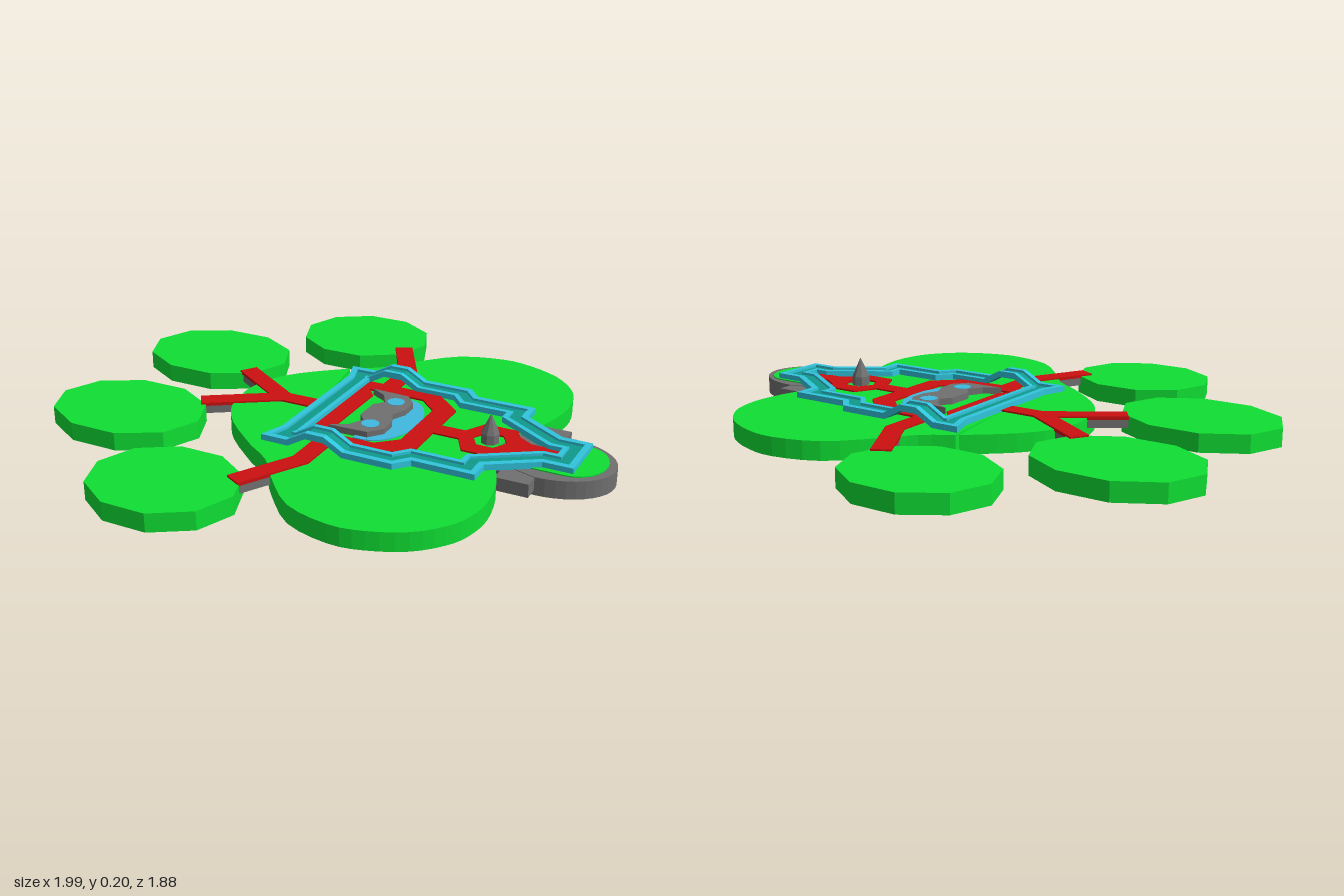
import * as THREE from 'three';

const COLORS = { green: 0x0fdf33, red: 0xcc1010, cyan: 0x30c4dc, teal: 0x109a8c, grey: 0x707070, blue: 0x3fb8e0 };
const MID = 0.015; // z of the body's own mirror axis

const material = (color) => new THREE.MeshStandardMaterial({ color: COLORS[color], flatShading: true, side: THREE.DoubleSide });

const toVec = (pts) => pts.map(([x, z]) => new THREE.Vector2(x, -z));

export function createModel() {
  const model = new THREE.Group();

  const add = (name, geometry, color) => {
    const mesh = new THREE.Mesh(geometry, material(color));
    mesh.name = name;
    model.add(mesh);
    return mesh;
  };

  // Flat slab from an [x, z] outline, between two heights
  const plate = (name, pts, y0, y1, color, holes = []) => {
    const shape = new THREE.Shape(toVec(pts));
    holes.forEach((h) => shape.holes.push(new THREE.Path(toVec(h))));
    const g = new THREE.ExtrudeGeometry(shape, { depth: y1 - y0, bevelEnabled: false });
    g.rotateX(-Math.PI / 2).translate(0, y0, 0);
    return add(name, g, color);
  };

  const ellipse = (cx, cz, rx, rz, n, from = 0, to = Math.PI * 2) =>
    Array.from({ length: n }, (_, i) => {
      const a = from + ((to - from) * i) / (to - from > 6.2 ? n : n - 1);
      return [cx + rx * Math.cos(a), cz + rz * Math.sin(a)];
    });

  const spline = (pts, n) =>
    new THREE.SplineCurve(pts.map(([x, z]) => new THREE.Vector2(x, z))).getPoints(n).map((p) => [p.x, p.y]);

  // Body: mirrored lobes, with a narrow slit on the far side of the tail
  const tail = spline([[-0.405, 0], [-0.38, 0.13], [-0.3, 0.25], [-0.155, 0.375]], 9);
  const lobe = spline([[-0.15, 0.38], [-0.05, 0.45], [0.03, 0.55], [0.165, 0.685], [0.33, 0.735], [0.45, 0.72],
    [0.57, 0.665], [0.65, 0.585], [0.69, 0.505], [0.705, 0.39], [0.68, 0.25], [0.63, 0.13], [0.59, 0]], 36);
  const near = [...tail, ...lobe].map(([x, z]) => [x, MID + z]);
  const farTail = tail.slice(1).map(([x, z]) => [x - 0.006, MID - z]);
  const farLobe = lobe.slice(0, -1).map(([x, z]) => [x, MID - z]);
  plate('body', [...near, ...farLobe.reverse(), [-0.1, 0.03], ...farTail.reverse()], 0.03, 0.096, 'green');

  // Four ten-sided outer pads
  for (const s of [-1, 1]) {
    plate('sidePad', ellipse(-0.268, MID - 0.008 + s * 0.723, 0.262, 0.23, 10), 0.03, 0.096, 'green');
    plate('rearPad', ellipse(-0.705, MID + s * 0.302, 0.294, 0.228, 10), 0.03, 0.096, 'green');
  }

  // Head with side blocks and a green top
  plate('head', [[0.6, -0.1], ...ellipse(0.775, 0.01, 0.22, 0.165, 21, -Math.PI / 2, Math.PI / 2), [0.6, 0.12]], 0.03, 0.094, 'grey');
  plate('headBlocks', [[0.66, -0.21], [0.775, -0.21], [0.775, 0.23], [0.66, 0.23]], 0.045, 0.092, 'grey');
  plate('headTop', [[0.72, -0.115], ...ellipse(0.86, 0.005, 0.105, 0.12, 13, -Math.PI / 2, Math.PI / 2), [0.72, 0.125]], 0.09, 0.098, 'green');

  // Mitred offset of an open or closed path
  const offset = (path, d, closed) => path.map((p, i) => {
    const n = path.length;
    const a = closed || i > 0 ? path[(i - 1 + n) % n] : null;
    const b = closed || i < n - 1 ? path[(i + 1) % n] : null;
    const normal = (u, v) => {
      const l = Math.hypot(v[0] - u[0], v[1] - u[1]);
      return [-(v[1] - u[1]) / l, (v[0] - u[0]) / l];
    };
    const n1 = a ? normal(a, p) : normal(p, b);
    const n2 = b ? normal(p, b) : n1;
    const k = d / (1 + n1[0] * n2[0] + n1[1] * n2[1]);
    return [p[0] + k * (n1[0] + n2[0]), p[1] + k * (n1[1] + n2[1])];
  });

  // Arms: grey strut with a red strip on top
  const arm = (name, path) => {
    const ribbon = (w) => [...offset(path, w, false), ...offset(path, -w, false).reverse()];
    plate(name + 'Strut', ribbon(0.03), 0.06, 0.09, 'grey');
    plate(name + 'Strip', ribbon(0.034), 0.09, 0.102, 'red');
  };
  for (const s of [-1, 1]) {
    arm('sideArm', [[0.058, s * 0.25], [0.058, s * 0.42], [-0.065, s * 0.645]]);
    arm('rearArm', [[-0.25, 0], [-0.5, s * 0.165]]);
  }
  arm('tailArm', [[0.02, 0], [-0.27, 0]]);
  plate('tailPeg', [[-0.085, -0.02], [-0.03, -0.02], [-0.03, 0.03], [-0.085, 0.03]], 0.024, 0.09, 'red');

  // Red emblem frame: cabin ring, spine and hexagon
  plate('cabinFrame',
    [[-0.07, -0.27], [0.255, -0.27], [0.36, -0.17], [0.36, 0.175], [0.255, 0.27], [-0.07, 0.27], [-0.07, 0.2],
      [-0.04, 0.17], [-0.04, -0.17], [-0.07, -0.2]],
    0.09, 0.102, 'red',
    [[[0.06, -0.205], [0.215, -0.205], [0.285, -0.135], [0.285, 0.135], [0.215, 0.2], [0.06, 0.2],
      [0.0, 0.2], [0.035, 0.16], [0.035, -0.16], [0.0, -0.205]]]);
  plate('spineLink', [[0.35, -0.034], [0.46, -0.034], [0.46, 0.034], [0.35, 0.034]], 0.09, 0.1015, 'red');
  plate('hexagonFrame', ellipse(0.555, 0, 0.12, 0.13, 6), 0.09, 0.102, 'red', [ellipse(0.555, 0, 0.06, 0.06, 6)]);
  plate('noseStrip', [[0.615, -0.085], [0.69, -0.034], [0.81, -0.034], [0.81, 0.034], [0.69, 0.034], [0.615, 0.085]], 0.09, 0.1015, 'red');

  // Blue crescent, grey mask and round eyes
  plate('crescent', [[0.13, -0.19], ...ellipse(0.165, 0, 0.122, 0.19, 13, -Math.PI / 2, Math.PI / 2), [0.13, 0.19]], 0.09, 0.1, 'blue');
  const maskHalf = [[0.19, 0], [0.215, 0.055], [0.215, 0.12], [0.175, 0.17], [0.03, 0.175], [0.09, 0.14], [0.12, 0.085], [0.09, 0.05], [0.09, 0]];
  plate('mask', [...maskHalf, ...maskHalf.slice(1, -1).reverse().map(([x, z]) => [x, -z])], 0.096, 0.12, 'grey');
  for (const s of [-1, 1]) plate('eye', ellipse(0.155, s * 0.103, 0.032, 0.032, 12), 0.1, 0.1215, 'blue');

  // Spike through the hexagon
  const spike = add('spike', new THREE.LatheGeometry(
    [[0, 0], [0.032, 0], [0.032, 0.13], [0, 0.2]].map(([r, y]) => new THREE.Vector2(r, y)), 8), 'grey');
  spike.position.x = 0.555;

  // Border track: closed mitred band, raised where it bridges the side arms
  const half = [[-0.14, -0.343], [-0.04, -0.343], [0.03, -0.343], [0.1, -0.343], [0.17, -0.343], [0.35, -0.343],
    [0.395, -0.29], [0.615, -0.29], [0.615, -0.21], [0.775, -0.105], [0.88, -0.105]];
  const outline = [...half, ...half.map(([x, z]) => [x, -z]).reverse(), [-0.11, 0.25], [-0.11, -0.25]];
  const lift = ([x, z]) => (Math.abs(z) > 0.25 && x > 0.02 && x < 0.11 ? 0.04 : 0);

  const band = (name, d0, d1, y0, y1, color) => {
    const a = offset(outline, d0, true);
    const b = offset(outline, d1, true);
    const n = outline.length;
    const pos = [];
    const index = [];
    outline.forEach((p, i) => {
      const h = lift(p);
      for (const [q, y] of [[a[i], y0], [a[i], y1], [b[i], y1], [b[i], y0]]) pos.push(q[0], y + h, q[1]);
      for (let k = 0; k < 4; k++) {
        const u = i * 4 + k, v = i * 4 + ((k + 1) % 4);
        const w = ((i + 1) % n) * 4;
        const u2 = w + k, v2 = w + ((k + 1) % 4);
        index.push(u, v, u2, v, v2, u2);
      }
    });
    const g = new THREE.BufferGeometry();
    g.setAttribute('position', new THREE.Float32BufferAttribute(pos, 3));
    g.setIndex(index.reverse());
    const flat = g.toNonIndexed();
    flat.computeVertexNormals();
    add(name, flat, color);
  };
  band('trackOuterRim', 0, 0.022, 0.094, 0.117, 'cyan');
  band('trackFloor', 0.022, 0.062, 0.094, 0.108, 'teal');
  band('trackInnerRim', 0.062, 0.08, 0.094, 0.117, 'cyan');

  return model;
}
